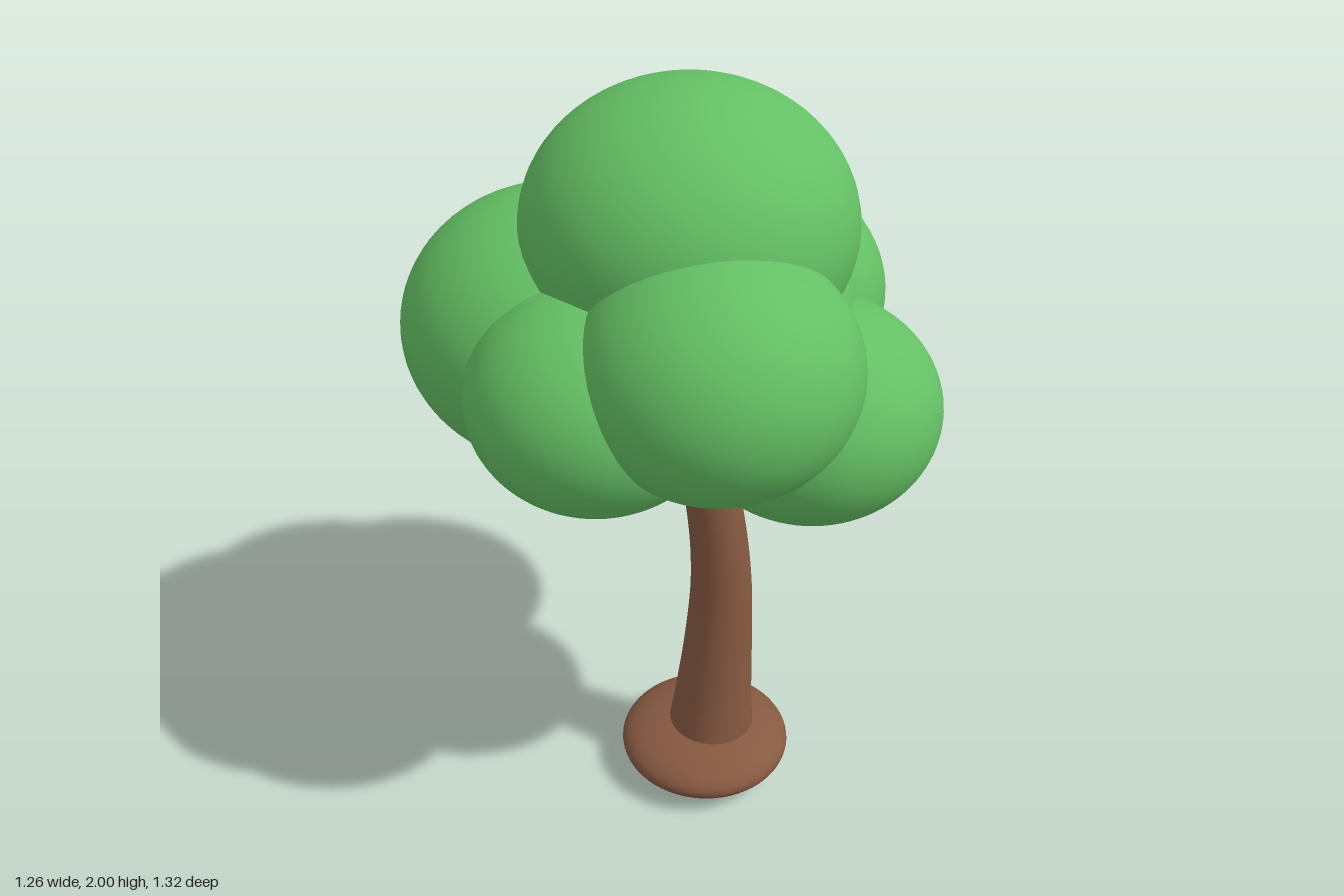
import * as THREE from 'three';
import { mergeVertices } from 'three/addons/utils/BufferGeometryUtils.js';

const leafGreen = new THREE.MeshStandardMaterial({ color: 0x64c064 });
leafGreen.name = 'leafGreen';
const barkBrown = new THREE.MeshStandardMaterial({ color: 0x865941 });
barkBrown.name = 'barkBrown';

// Flattened sphere: r across, ry up
function ellipsoid(name, material, x, y, z, r, ry) {
  const mesh = new THREE.Mesh(new THREE.SphereGeometry(1, 64, 40), material);
  mesh.name = name;
  mesh.scale.set(r, ry, r);
  mesh.position.set(x, y, z);
  return mesh;
}

// Bent, tapering trunk: the rows of a cylinder are moved along a curve
function trunk() {
  const rings = [ // x, y, z, radius
    [0.12, 0.1, 0.045, 0.122],
    [0.127, 0.25, 0.043, 0.107],
    [0.138, 0.45, 0.039, 0.092],
    [0.142, 0.65, 0.035, 0.081],
    [0.125, 0.85, 0.03, 0.074],
    [0.082, 1.08, 0.026, 0.068],
    [0.02, 1.3, 0.022, 0.062],
  ];
  const path = new THREE.CatmullRomCurve3(rings.map(([x, y, z]) => new THREE.Vector3(x, y, z)));
  const widths = new THREE.SplineCurve(rings.map(([, , , r], i) => new THREE.Vector2(i, r)));
  let geo = new THREE.CylinderGeometry(1, 1, 1, 40, 36, true);
  const pos = geo.attributes.position;
  for (let i = 0; i < pos.count; i++) {
    const t = pos.getY(i) + 0.5;
    const c = path.getPoint(t);
    const r = widths.getPoint(t).y;
    pos.setXYZ(i, c.x + pos.getX(i) * r, c.y, c.z + pos.getZ(i) * r);
  }
  geo.deleteAttribute('uv');
  geo.deleteAttribute('normal');
  geo = mergeVertices(geo);
  geo.computeVertexNormals();
  const mesh = new THREE.Mesh(geo, barkBrown);
  mesh.name = 'trunk';
  return mesh;
}

export function createModel() {
  const tree = new THREE.Group();
  tree.name = 'tree';

  // Foot and trunk
  tree.add(ellipsoid('rootFoot', barkBrown, 0.105, 0.084, 0.045, 0.235, 0.084));
  tree.add(trunk());

  // Crown of overlapping leaf clumps
  const crown = new THREE.Group();
  crown.name = 'crown';
  const clumps = [ // name, x, y, z, radius, half height
    ['coreLeaves', 0.05, 1.43, 0.01, 0.4, 0.34],
    ['topLeaves', 0.05, 1.668, 0.005, 0.39, 0.332],
    ['frontLeaves', 0.075, 1.475, 0.34, 0.32, 0.285],
    ['frontRightLeaves', -0.185, 1.36, 0.23, 0.302, 0.26],
    ['rightLeaves', -0.255, 1.365, -0.115, 0.38, 0.335],
    ['backLeaves', -0.1, 1.28, -0.27, 0.39, 0.335],
    ['backLeftLeaves', 0.222, 1.36, -0.253, 0.362, 0.31],
    ['leftLeaves', 0.32, 1.265, 0.175, 0.31, 0.265],
  ];
  for (const [name, ...dims] of clumps) crown.add(ellipsoid(name, leafGreen, ...dims));
  tree.add(crown);
  return tree;
}
